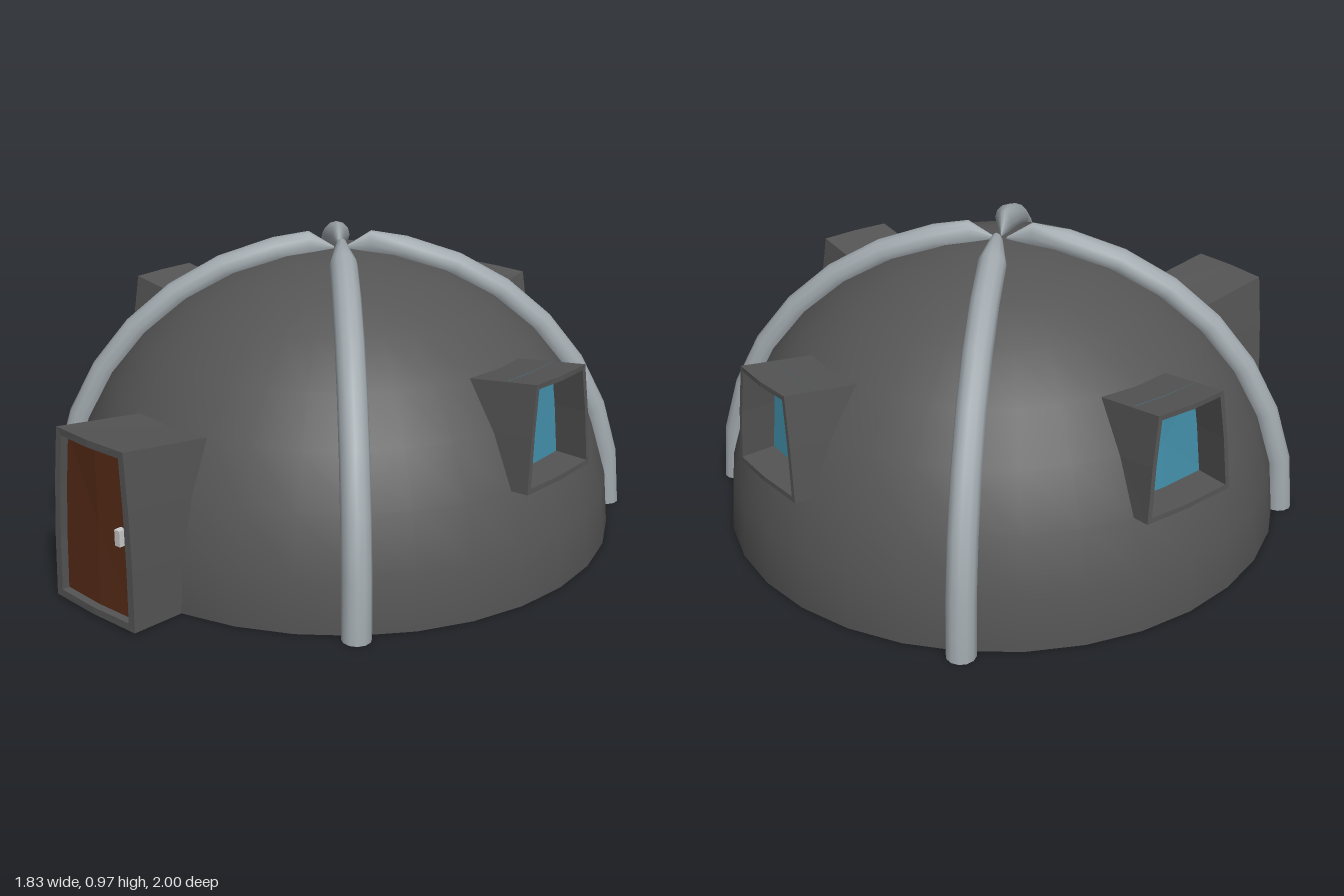
import * as THREE from 'three';

const R = 0.915;            // dome radius
const STEP = Math.PI / 16;  // angular size of one dome panel

const mat = (color, extra = {}) => new THREE.MeshStandardMaterial({ color, ...extra });
const wall = mat(0x555555);
const wallFlat = mat(0x555555, { flatShading: true });
const ribMat = mat(0xa0a8ad);
const glassMat = mat(0x4390ac);
const doorMat = mat(0x552a16);
const metal = mat(0xcccccc);

function mesh(name, geometry, material, parent) {
  const m = new THREE.Mesh(geometry, material);
  m.name = name;
  parent.add(m);
  return m;
}

// Skin a list of loops (arrays of Vector3 with equal counts); optionally close the last one
function loft(loops, smooth, cap) {
  const n = loops[0].length, pos = [], idx = [];
  loops.forEach(l => l.forEach(p => pos.push(p.x, p.y, p.z)));
  for (let j = 0; j < loops.length - 1; j++)
    for (let i = 0; i < n; i++) {
      const k = (i + 1) % n, a = j * n + i, b = j * n + k;
      idx.push(a, b, b + n, a, b + n, a + n);
    }
  if (cap) {
    const last = loops[loops.length - 1];
    const c = last.reduce((s, p) => s.add(p), new THREE.Vector3()).divideScalar(n);
    const base = (loops.length - 1) * n;
    pos.push(c.x, c.y, c.z);
    for (let i = 0; i < n; i++) idx.push(pos.length / 3 - 1, base + i, base + (i + 1) % n);
  }
  let g = new THREE.BufferGeometry();
  g.setAttribute('position', new THREE.Float32BufferAttribute(pos, 3));
  g.setIndex(idx);
  if (!smooth) g = g.toNonIndexed();
  g.computeVertexNormals();
  return g;
}

// Hemisphere with the panels behind the door and windows left out
function domeGeometry() {
  const g = new THREE.SphereGeometry(R, 32, 8, 0, Math.PI * 2, 0, Math.PI / 2);
  const p = g.attributes.position, src = g.index.array, keep = [];
  const c = new THREE.Vector3(), v = new THREE.Vector3();
  for (let i = 0; i < src.length; i += 3) {
    c.set(0, 0, 0);
    for (let k = 0; k < 3; k++) c.add(v.fromBufferAttribute(p, src[i + k]));
    c.divideScalar(3);
    const az = Math.atan2(c.x, c.z);
    const quarter = Math.round(az / (Math.PI / 2));
    const inside = Math.abs(az - quarter * Math.PI / 2) < STEP;
    const [lo, hi] = quarter === 0 ? [0, 3] : [2, 4];
    const open = inside && c.y > R * Math.sin(lo * STEP) && c.y < R * Math.sin(hi * STEP);
    if (!open) keep.push(src[i], src[i + 1], src[i + 2]);
  }
  g.setIndex(keep);
  return g;
}

// Box-like bay grown out of the dome panels (rows lo..hi, two columns), facing +z
function bay(name, o) {
  const group = new THREE.Group();
  group.name = name;
  const cells = [[-1, o.lo], [0, o.lo]];
  for (let r = o.lo; r < o.hi; r++) cells.push([1, r]);
  cells.push([1, o.hi], [0, o.hi]);
  for (let r = o.hi; r > o.lo; r--) cells.push([-1, r]);

  const root = cells.map(([u, r]) => new THREE.Vector3(
    R * Math.cos(r * STEP) * Math.sin(u * STEP),
    R * Math.sin(r * STEP),
    R * Math.cos(r * STEP) * Math.cos(u * STEP)));
  const rim = root.map((p, i) => new THREE.Vector3(
    p.x, p.y * o.scaleY + o.shiftY,
    o.front + (cells[i][0] === 0 ? 0.007 : 0) - 0.012 * (cells[i][1] - o.lo) / (o.hi - o.lo)));
  const ys = rim.map(p => p.y), top = Math.max(...ys), low = Math.min(...ys);
  const mid = (top + low) / 2;
  const inset = rim.map(p => new THREE.Vector3(
    p.x * (1 - o.frame / 0.16),
    mid + (p.y - mid) * (1 - 2 * o.frame / (top - low)), p.z));
  const back = inset.map(p => new THREE.Vector3(p.x, p.y, p.z - o.recess));

  mesh('frame', loft([root, rim, inset, back], false, false), wallFlat, group);
  mesh(o.panel, loft([back], false, true), o.panelMat, group);
  return group;
}

// Curved rib following the dome, thinning to a point near the crown
function ribGeometry() {
  const section = (angle, radius, width, height) => Array.from({ length: 12 }, (_, i) => {
    const t = i / 12 * Math.PI * 2, r = radius + height * Math.cos(t);
    return new THREE.Vector3(width * Math.sin(t), r * Math.sin(angle), r * Math.cos(angle));
  });
  const loops = [];
  for (let i = 0; i <= 7; i++) loops.push(section(THREE.MathUtils.degToRad(i * 11), 0.933, 0.045, 0.045));
  loops.push(section(THREE.MathUtils.degToRad(84), 0.933, 0.022, 0.045));
  loops.push(section(THREE.MathUtils.degToRad(88.8), 0.917, 0.002, 0.004));
  return loft(loops, true, true);
}

export function createModel() {
  const model = new THREE.Group();
  model.name = 'domeHouse';
  const house = new THREE.Group();
  house.name = 'house';
  house.position.z = -0.085;
  model.add(house);

  mesh('dome', domeGeometry(), wall, house);
  mesh('floor', new THREE.CircleGeometry(R, 32).rotateX(Math.PI / 2), wall, house);

  // Entrance with door and handle
  const entrance = bay('entrance', {
    lo: 0, hi: 3, scaleY: 1.08, shiftY: 0.008, front: 1.077, frame: 0.023, recess: 0.025,
    panel: 'door', panelMat: doorMat,
  });
  mesh('doorHandle', new THREE.BoxGeometry(0.022, 0.05, 0.025), metal, entrance)
    .position.set(0.112, 0.285, 1.058);
  house.add(entrance);

  // Windows on the left, back and right
  ['leftWindow', 'backWindow', 'rightWindow'].forEach((name, i) => {
    const w = bay(name, {
      lo: 2, hi: 4, scaleY: 1.11, shiftY: -0.035, front: 0.886, frame: 0.016, recess: 0.11,
      panel: 'glass', panelMat: glassMat,
    });
    w.rotation.y = (i + 1) * Math.PI / 2;
    house.add(w);
  });

  // Four diagonal ribs with closed feet
  const rib = ribGeometry();
  const foot = new THREE.CircleGeometry(0.045, 12).rotateX(Math.PI / 2).translate(0, 0, 0.933);
  for (let i = 0; i < 4; i++) {
    const g = new THREE.Group();
    g.name = 'rib' + (i + 1);
    mesh('ribArch', rib, ribMat, g);
    mesh('ribFoot', foot, ribMat, g);
    g.rotation.y = Math.PI / 4 + i * Math.PI / 2;
    house.add(g);
  }
  return model;
}
